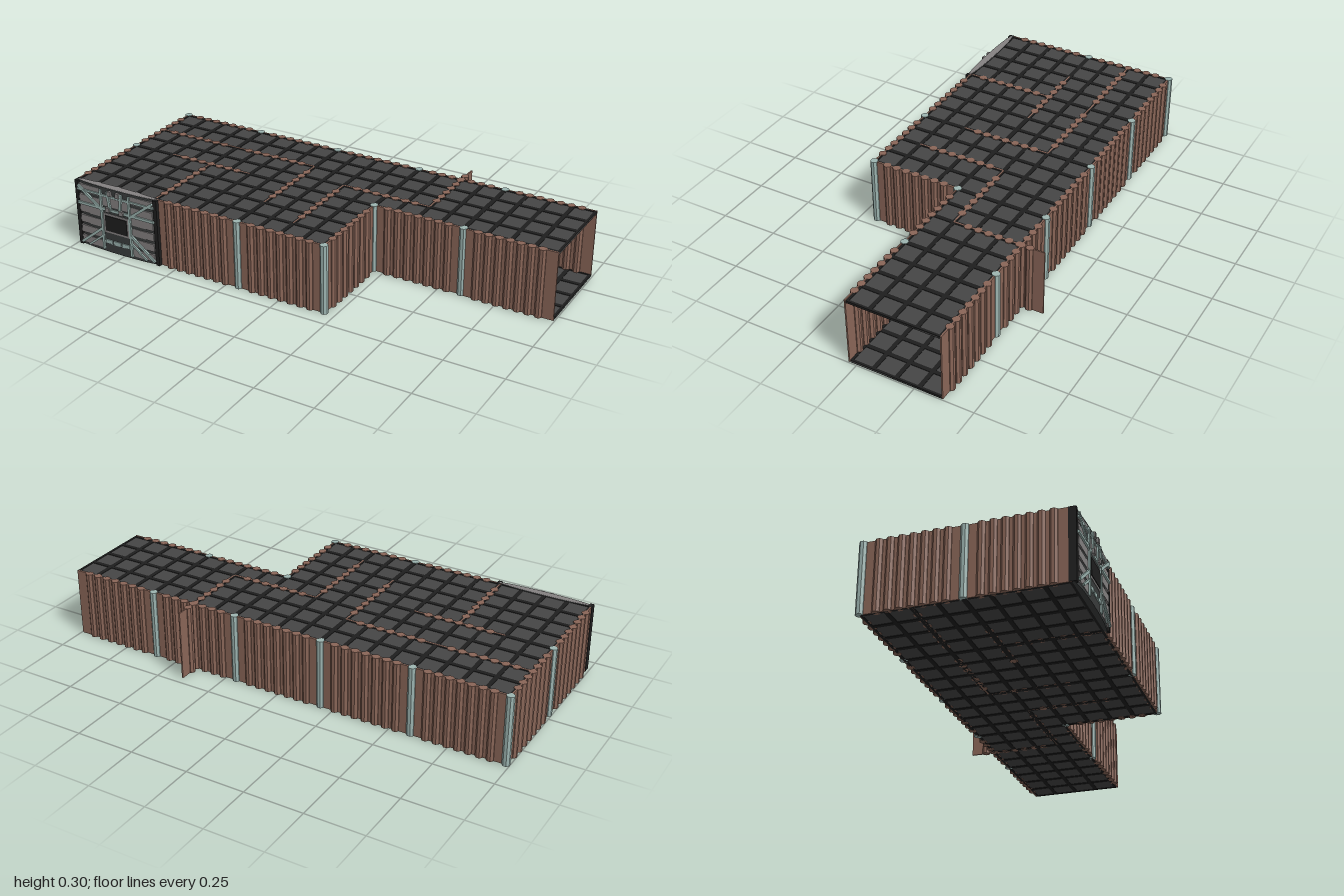
import * as THREE from 'three';

const P = 0.396, X0 = -0.985, Z0 = -0.366, H = 0.297; // module pitch, corner, height
const mat = (color, flatShading = true) => new THREE.MeshStandardMaterial({ color, flatShading });
const rust = mat(0x8a6658), steel = mat(0x9db5b1), panelGrey = mat(0x454545);
const dark = mat(0x1e1e1e), doorGrey = mat(0x858282), doorDark = mat(0x3a3d3d);
const gx = (i) => X0 + i * P, gz = (i) => Z0 + i * P;

function box(parent, name, material, w, h, d, x, y, z) {
  const m = new THREE.Mesh(new THREE.BoxGeometry(w, h, d), material);
  m.name = name;
  m.position.set(x, y, z);
  parent.add(m);
  return m;
}

// One wall module: thin sheet with seven octagonal ribs, starting at (x, z)
const ribGeo = new THREE.CylinderGeometry(0.0165, 0.0165, H, 8).rotateY(Math.PI / 8);
function wall(parent, name, x, z, alongZ) {
  const g = new THREE.Group();
  g.name = name;
  box(g, 'wallSheet', rust, P, H, 0.006, P / 2, H / 2, 0);
  for (let i = -3; i <= 3; i++) {
    const rib = new THREE.Mesh(ribGeo, rust);
    rib.name = 'wallRib';
    rib.position.set(P / 2 + i * 0.0447, H / 2, 0);
    g.add(rib);
  }
  g.position.set(x, 0, z);
  if (alongZ) g.rotation.y = -Math.PI / 2;
  parent.add(g);
}

// Floor or ceiling module: 4 x 4 panels between dark bars
function deck(parent, name, i, j, y) {
  const g = new THREE.Group();
  g.name = name;
  box(g, 'deckPanel', panelGrey, P, 0.006, P, 0, 0, 0);
  for (let k = 0; k <= 4; k++) {
    const o = (k / 4 - 0.5) * P, edge = k % 4 === 0;
    const w = edge ? 0.01 : 0.018, s = edge ? o - Math.sign(o) * 0.005 : o;
    box(g, 'deckBarZ', dark, w, 0.01, P, s, 0, 0);
    box(g, 'deckBarX', dark, P, 0.01, w, 0, 0, s);
  }
  g.position.set(gx(i) + P / 2, y, gz(j) + P / 2);
  parent.add(g);
}

// Curved gate leaf with slats, braces and a central window
function buildGate() {
  const g = new THREE.Group();
  g.name = 'gate';
  const leaf = new THREE.Mesh(new THREE.CylinderGeometry(1, 1, H, 32).scale(0.205, 1, 0.018), doorDark);
  leaf.name = 'gateLeaf';
  leaf.position.y = H / 2;
  g.add(leaf);
  const cap = new THREE.Mesh(new THREE.CylinderGeometry(1, 1, 0.002, 32).scale(0.2, 1, 0.016), doorGrey);
  cap.name = 'gateCap';
  cap.position.y = H;
  g.add(cap);
  for (const f of [1, -1]) {
    const side = new THREE.Group();
    side.name = f > 0 ? 'gateFront' : 'gateBack';
    if (f < 0) side.rotation.y = Math.PI;
    g.add(side);
    const beam = (name, m, x1, y1, x2, y2, w, z) => {
      const b = box(side, name, m, Math.hypot(x2 - x1, y2 - y1), w, 0.008, (x1 + x2) / 2, (y1 + y2) / 2, z);
      b.rotation.z = Math.atan2(y2 - y1, x2 - x1);
    };
    for (const s of [-1, 1]) {
      for (let r = 0; r < 6; r++)
        box(side, 'gateSlat', doorGrey, 0.11, 0.034, 0.01, s * 0.133, 0.03 + r * 0.048, 0.012);
      beam('lowerBrace', steel, s * 0.19, 0.015, s * 0.07, 0.11, 0.012, 0.019);
      beam('innerBrace', steel, s * 0.15, 0.012, s * 0.07, 0.075, 0.009, 0.019);
      beam('upperBrace', steel, s * 0.19, 0.28, s * 0.07, 0.19, 0.012, 0.019);
      beam('gatePost', steel, s * 0.072, 0.01, s * 0.072, 0.285, 0.011, 0.02);
      beam('upperStrut', steel, s * 0.025, 0.2, s * 0.035, 0.285, 0.012, 0.022);
      box(side, 'lockLug', doorGrey, 0.02, 0.02, 0.01, s * 0.035, 0.203, 0.026);
      box(side, 'topLug', doorGrey, 0.018, 0.022, 0.01, s * 0.02, 0.28, 0.026);
    }
    box(side, 'crossRail', steel, 0.39, 0.012, 0.008, 0, 0.2, 0.019);
    box(side, 'topRail', steel, 0.39, 0.009, 0.008, 0, 0.262, 0.018);
    box(side, 'middlePlate', doorGrey, 0.13, 0.04, 0.008, 0, 0.235, 0.015);
    box(side, 'windowFrame', doorGrey, 0.13, 0.09, 0.008, 0, 0.137, 0.016);
    box(side, 'window', dark, 0.11, 0.07, 0.01, 0, 0.137, 0.018);
    for (let k = -1; k <= 1; k++)
      box(side, 'lowerPlate', steel, 0.036, 0.018, 0.008, k * 0.044, 0.05, 0.018);
  }
  // Side jambs
  for (const s of [-1, 1]) box(g, 'gateJamb', dark, 0.018, H, 0.03, s * 0.2, H / 2, 0);
  g.position.set(-0.781, 0, 0.43);
  return g;
}

export function createModel() {
  const root = new THREE.Group();
  root.name = 'corridorBuilding';

  // Floor and ceiling over the L-shaped plan
  for (let i = 0; i < 5; i++)
    for (let j = 0; j < (i < 3 ? 2 : 1); j++) {
      deck(root, 'floor', i, j, 0.005);
      deck(root, 'ceiling', i, j, H - 0.006);
    }

  // Outer walls; the +x end stays open
  for (let i = 0; i < 5; i++) wall(root, 'backWall', gx(i), gz(0), false);
  for (let j = 0; j < 2; j++) wall(root, 'rightWall', gx(0), gz(j), true);
  for (const i of [1, 2]) wall(root, 'frontWall', gx(i), gz(2), false);
  for (const i of [3, 4]) wall(root, 'corridorWall', gx(i), gz(1) + (i === 4 ? 0.005 : 0), false);
  wall(root, 'leftWall', gx(3), gz(1), true);

  // Inner partitions: [x, z, alongZ] in module steps
  const partitions = [
    [0, 0.5, false], [1, 0.5, false], [2, 0.5, true], [0.5, 1, false],
    [1, 1, true], [3.5, -0.25, true], [2.5, 0.75, false], [2.5, 0.75, true],
  ];
  for (const [i, j, alongZ] of partitions) wall(root, 'partition', gx(i), gz(j), alongZ);

  // Pillars at the module joints
  const pillarGeo = new THREE.CylinderGeometry(0.0165, 0.0165, H + 0.001, 8).rotateY(Math.PI / 8);
  const joints = [[0, 0], [1, 0], [2, 0], [3, 0], [4, 0], [0, 1], [3, 1], [4, 1], [2, 2], [3, 2]];
  for (const [i, j] of joints) {
    const p = new THREE.Mesh(pillarGeo, steel);
    p.name = 'pillar';
    p.position.set(gx(i), (H + 0.001) / 2, gz(j));
    root.add(p);
  }

  root.add(buildGate());
  return root;
}
